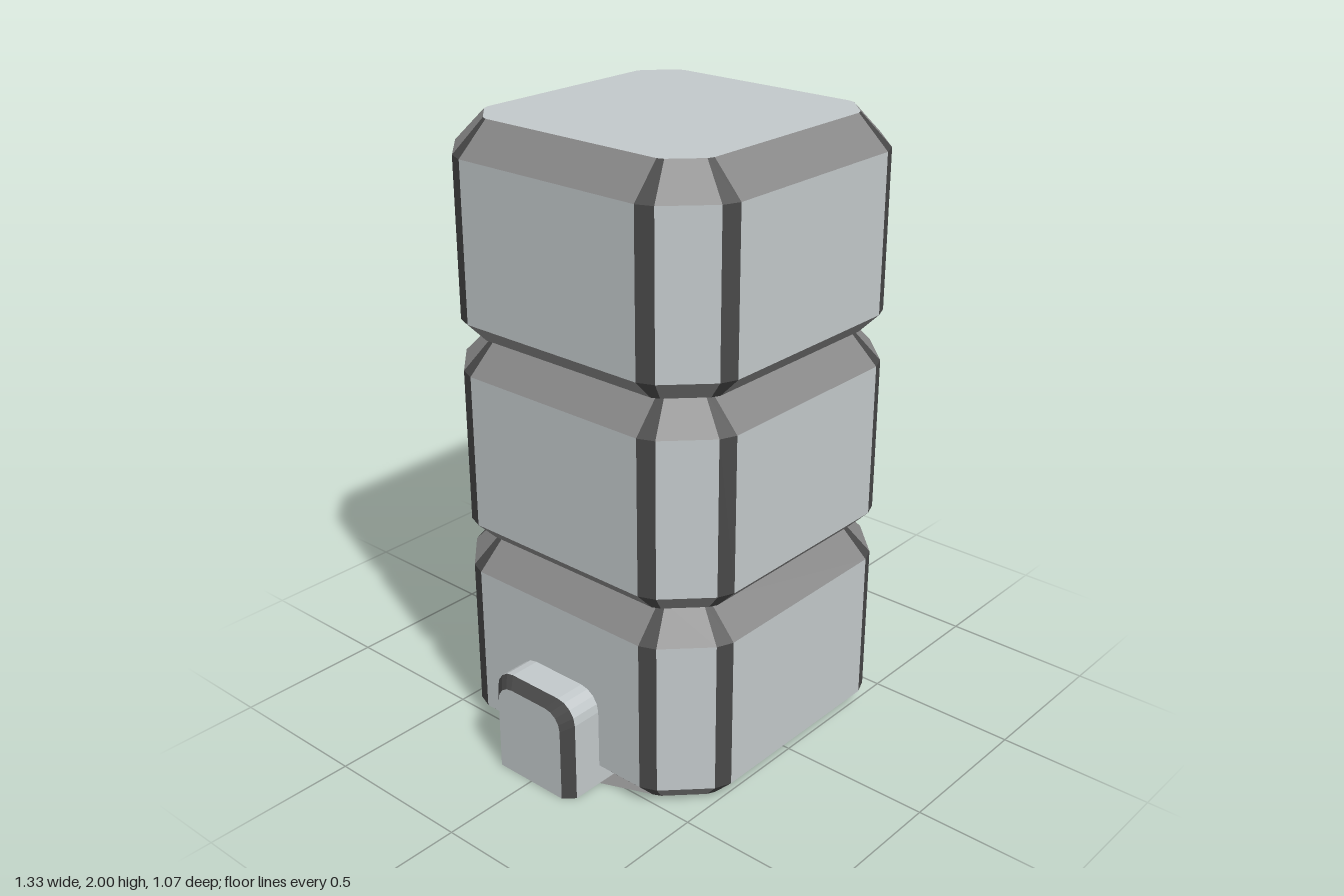
import * as THREE from 'three';

const shell = new THREE.MeshStandardMaterial({ color: 0xc2c8ca });
shell.name = 'light shell grey';
const bevel = new THREE.MeshStandardMaterial({ color: 0x888888 });
bevel.name = 'bevel grey';
const trim = new THREE.MeshStandardMaterial({ color: 0x484848 });
trim.name = 'dark trim grey';
const materials = [shell, bevel, trim];
const SHELL = 0, BEVEL = 1, TRIM = 2;

// Joins flat-shaded loops of 3D points; colorOf(level, side) picks a material index.
function loft(name, loops, colorOf, startCap, endCap) {
  const buckets = [[], [], []];
  const tri = (m, a, b, c) => buckets[m].push(...a, ...b, ...c);
  const n = loops[0].length;
  for (let l = 0; l + 1 < loops.length; l++) {
    for (let i = 0; i < n; i++) {
      const j = (i + 1) % n, m = colorOf(l, i);
      const [a, b] = [loops[l], loops[l + 1]];
      tri(m, a[i], b[i], b[j]);
      tri(m, a[i], b[j], a[j]);
    }
  }
  const first = loops[0], last = loops[loops.length - 1];
  for (let i = 1; i + 1 < n; i++) {
    if (startCap !== null) tri(startCap, first[0], first[i], first[i + 1]);
    if (endCap !== null) tri(endCap, last[0], last[i + 1], last[i]);
  }
  const geometry = new THREE.BufferGeometry();
  geometry.setAttribute('position', new THREE.Float32BufferAttribute(buckets.flat(), 3));
  let start = 0;
  buckets.forEach((bucket, m) => {
    if (bucket.length) geometry.addGroup(start, bucket.length / 3, m);
    start += bucket.length / 3;
  });
  geometry.computeVertexNormals();
  const mesh = new THREE.Mesh(geometry, materials);
  mesh.name = name;
  return mesh;
}

// Square loop with a chamfer and two narrow edge strips at each corner.
function squareLoop(y, half, a, c, b) {
  const points = [];
  let corner = [[half, a], [c, b], [b, c], [a, half]];
  for (let q = 0; q < 4; q++) {
    corner.forEach(([x, z]) => points.push([x, y, z]));
    corner = corner.map(([x, z]) => [-z, x]);
  }
  return points;
}

// One bevelled storey of the tower.
function createTier(name, y) {
  const loops = [
    squareLoop(y, 0.467, 0.33, 0.455, 0.355),
    squareLoop(y + 0.067, 0.533, 0.335, 0.512, 0.387),
    squareLoop(y + 0.567, 0.533, 0.335, 0.512, 0.387),
    squareLoop(y + 0.6667, 0.433, 0.325, 0.425, 0.345),
  ];
  const colorOf = (level, side) => (side % 2 === 0 && side % 4 !== 1 ? TRIM : level === 1 ? SHELL : BEVEL);
  return loft(name, loops, colorOf, BEVEL, SHELL);
}

// Arch outline in the z-y plane at a given x.
function archLoop(x, half, top, radius) {
  const points = [[x, 0, half]];
  const steps = 4;
  for (const s of [1, -1]) {
    for (let k = 0; k <= steps; k++) {
      const t = (s > 0 ? k : steps - k) / steps * Math.PI / 2;
      points.push([x, top - radius + radius * Math.sin(t), s * (half - radius + radius * Math.cos(t))]);
    }
  }
  points.push([x, 0, -half]);
  return points;
}

// Side foot with dark bevel, plus the sloped fillers beside it.
function createFoot(name) {
  const group = new THREE.Group();
  group.name = name;
  const loops = [
    archLoop(0.467, 0.167, 0.333, 0.07),
    archLoop(0.635, 0.167, 0.333, 0.07),
    archLoop(0.667, 0.133, 0.303, 0.06),
  ];
  const under = loops[0].length - 1;
  const colorOf = (level, side) => (side === under ? BEVEL : level === 1 ? TRIM : SHELL);
  group.add(loft('footBlock', loops, colorOf, null, SHELL));

  for (const s of [1, -1]) {
    const inner = [0.467, 0, s * 0.33];
    const upper = [0.533, 0.067, s * 0.167];
    const outer = [0.533, 0, s * 0.167];
    const root = [0.467, 0, s * 0.167];
    const faces = [[inner, upper, outer], [inner, outer, root]];
    const points = faces.flatMap(([a, b, c]) => (s > 0 ? [a, b, c] : [a, c, b])).flat();
    const geometry = new THREE.BufferGeometry();
    geometry.setAttribute('position', new THREE.Float32BufferAttribute(points, 3));
    geometry.computeVertexNormals();
    const filler = new THREE.Mesh(geometry, bevel);
    filler.name = 'footFiller';
    group.add(filler);
  }
  return group;
}

export function createModel() {
  const model = new THREE.Group();
  model.name = 'tieredTower';
  ['lowerTier', 'middleTier', 'upperTier'].forEach((name, i) => model.add(createTier(name, i * 0.6667)));
  const leftFoot = createFoot('leftFoot');
  const rightFoot = createFoot('rightFoot');
  rightFoot.rotation.y = Math.PI;
  model.add(leftFoot, rightFoot);
  return model;
}
